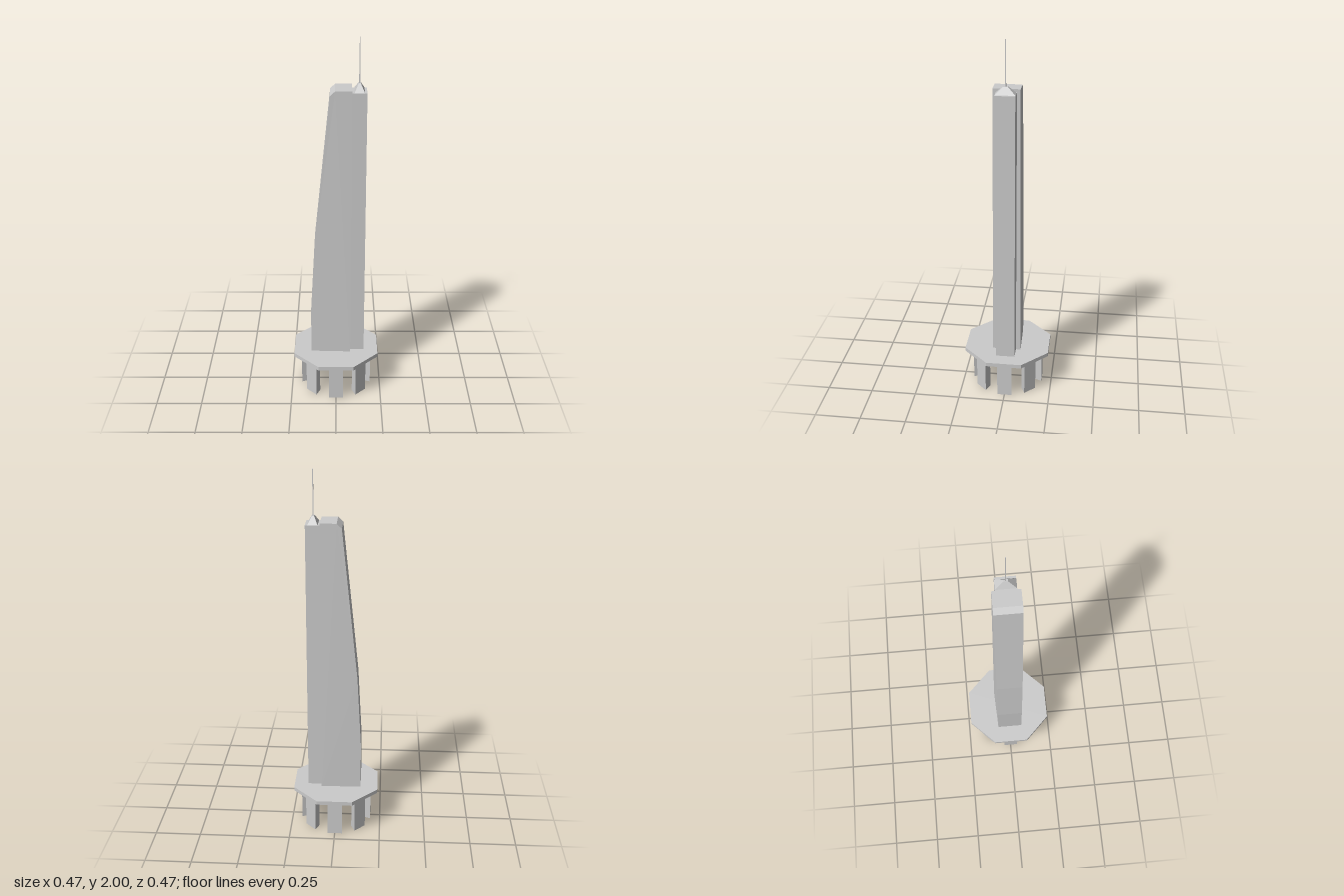
import * as THREE from 'three';

const material = new THREE.MeshStandardMaterial({ color: 0xcccccc, flatShading: true });

function addPart(parent, name, geometry, x = 0, y = 0, z = 0) {
  const mesh = new THREE.Mesh(geometry, material);
  mesh.name = name;
  mesh.position.set(x, y, z);
  parent.add(mesh);
  return mesh;
}

// Closed outline from [x, y] points
const outline = (points) => new THREE.Shape(points.map(([x, y]) => new THREE.Vector2(x, y)));

// Four-sided frustum with flat sides facing the axes; radii are half-widths
function squareFrustum(top, bottom, height) {
  return new THREE.CylinderGeometry(top * Math.SQRT2, bottom * Math.SQRT2, height, 4)
    .rotateY(Math.PI / 4);
}

export function createModel() {
  const model = new THREE.Group();
  model.name = 'tower';
  const deckTop = 0.232, deckBottom = 0.21, roof = 1.745;

  // Octagonal deck
  const deckRadius = 0.233 / Math.cos(Math.PI / 8);
  const deckHeight = deckTop - deckBottom;
  addPart(model, 'deck',
    new THREE.CylinderGeometry(deckRadius, deckRadius, deckHeight, 8).rotateY(Math.PI / 8),
    0, deckBottom + deckHeight / 2, 0);

  // Ring of eight wedge-shaped legs, wide face outwards
  const legShape = outline([[-0.04, -0.195], [0.04, -0.195], [0.021, -0.148], [-0.021, -0.148]]);
  const legGeometry = new THREE.ExtrudeGeometry(legShape, { depth: deckBottom, bevelEnabled: false })
    .rotateX(-Math.PI / 2);
  const legs = new THREE.Group();
  legs.name = 'legs';
  for (let i = 0; i < 8; i++) {
    addPart(legs, 'leg', legGeometry).rotation.y = i * Math.PI / 4;
  }
  model.add(legs);

  // Main slab: swept outer edge, chamfered roof corner
  const slabShape = outline([
    [0.08, deckTop], [0.08, roof], [-0.004, roof], [-0.03, 1.72],
    [-0.115, 0.9], [-0.138, 0.49], [-0.138, deckTop],
  ]);
  const slabGeometry = new THREE.ExtrudeGeometry(slabShape, { depth: 1, bevelEnabled: false });
  // The slab thickens slightly towards the foot of its inner edge
  const p = slabGeometry.attributes.position;
  for (let i = 0; i < p.count; i++) {
    const across = (p.getX(i) + 0.138) / 0.218;
    const down = (roof - p.getY(i)) / (roof - deckTop);
    p.setZ(i, (p.getZ(i) > 0.5 ? 1 : -1) * (0.07 + 0.008 * across * down));
  }
  slabGeometry.computeVertexNormals();
  addPart(model, 'mainSlab', slabGeometry);

  // Narrow shaft beside the slab
  const shaftX = 0.118, shaftTop = 1.73, shaftHeight = shaftTop - deckTop;
  addPart(model, 'shaft', new THREE.BoxGeometry(0.076, shaftHeight, 0.104),
    shaftX, deckTop + shaftHeight / 2, 0);

  // Hipped cap and mast
  addPart(model, 'cap', squareFrustum(0.006, 0.026, 0.038).applyMatrix4(
    new THREE.Matrix4().makeScale(1, 1, 2)), shaftX, shaftTop + 0.019, 0);
  const mastBase = 1.765;
  addPart(model, 'mast', squareFrustum(0.002, 0.003, 2 - mastBase),
    shaftX, (2 + mastBase) / 2, 0);

  return model;
}
